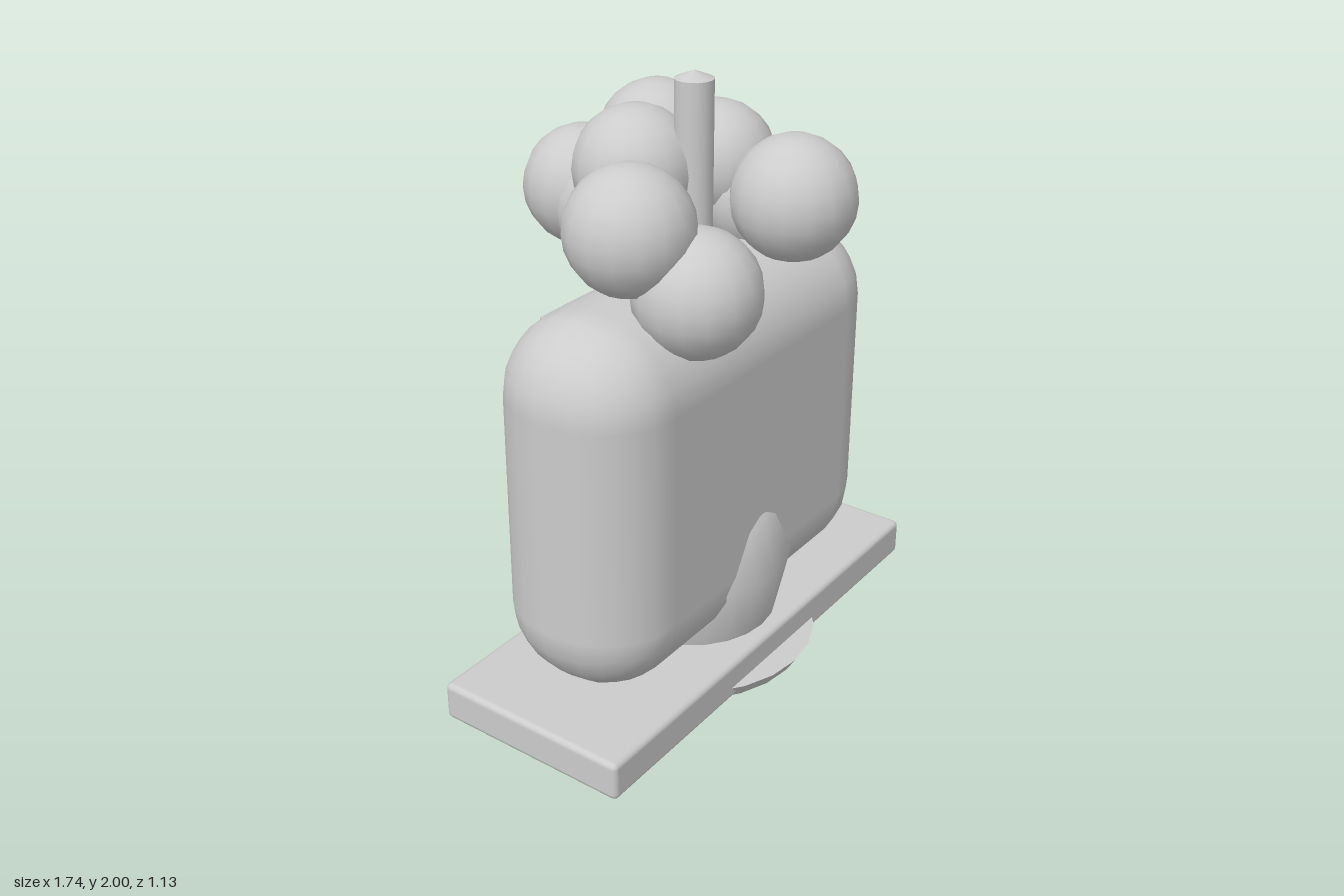
import * as THREE from 'three';
import { RoundedBoxGeometry } from 'three/addons/geometries/RoundedBoxGeometry.js';

export function createModel() {
  const model = new THREE.Group();
  const clay = new THREE.MeshStandardMaterial({ color: 0xcccccc });
  clay.name = 'light grey';
  const midZ = 0.097; // shared depth centre of the main parts

  function add(name, geometry, x, y, z) {
    const mesh = new THREE.Mesh(geometry, clay);
    mesh.name = name;
    mesh.position.set(x, y, z);
    model.add(mesh);
    return mesh;
  }
  const lathe = (points, sides) =>
    new THREE.LatheGeometry(points.map(([r, y]) => new THREE.Vector2(r, y)), sides);

  // Slab and the soft block standing on it
  add('baseSlab', new RoundedBoxGeometry(1.74, 0.133, 0.69, 2, 0.02), 0, 0.074, midZ);
  add('body', new RoundedBoxGeometry(1.506, 1.25, 0.575, 3, 0.265), 0, 0.765, midZ);

  // Flared foot disc poking out under the slab, and the bulging pedestal
  add('footDisc', new THREE.CylinderGeometry(0.43, 0.4, 0.05, 24), 0, 0.025, midZ);
  add('pedestal', lathe([[0, 0.03], [0.26, 0.03], [0.295, 0.14], [0.34, 0.35],
    [0.29, 0.57], [0.15, 0.66], [0, 0.68]], 24), 0, 0, midZ);

  // Chimney post with a shallow conical cap
  add('post', new THREE.CylinderGeometry(0.062, 0.062, 0.67, 16), 0, 1.64, midZ);
  add('postCap', new THREE.ConeGeometry(0.062, 0.025, 16), 0, 1.9875, midZ);

  // Square panel on the back
  add('backPanel', new RoundedBoxGeometry(0.75, 0.75, 0.036, 1, 0.006), 0, 0.875, -0.204);

  // Ring of balls on top
  const balls = new THREE.Group();
  balls.name = 'topBalls';
  const ballGeometry = new THREE.SphereGeometry(0.2, 16, 12);
  [
    [-0.385, 1.62, 0.145],
    [-0.28, 1.43, 0.31],
    [0.16, 1.61, 0.36],
    [0.41, 1.49, 0.06],
    [0.36, 1.6, -0.065],
    [0.215, 1.68, -0.2],
    [0.04, 1.54, -0.37],
    [0.03, 1.505, -0.24],
    [-0.06, 1.68, -0.08],
  ].forEach(([x, y, z], i) => {
    const ball = new THREE.Mesh(ballGeometry, clay);
    ball.name = 'ball' + (i + 1);
    ball.position.set(x, y, z);
    balls.add(ball);
  });
  model.add(balls);
  return model;
}
